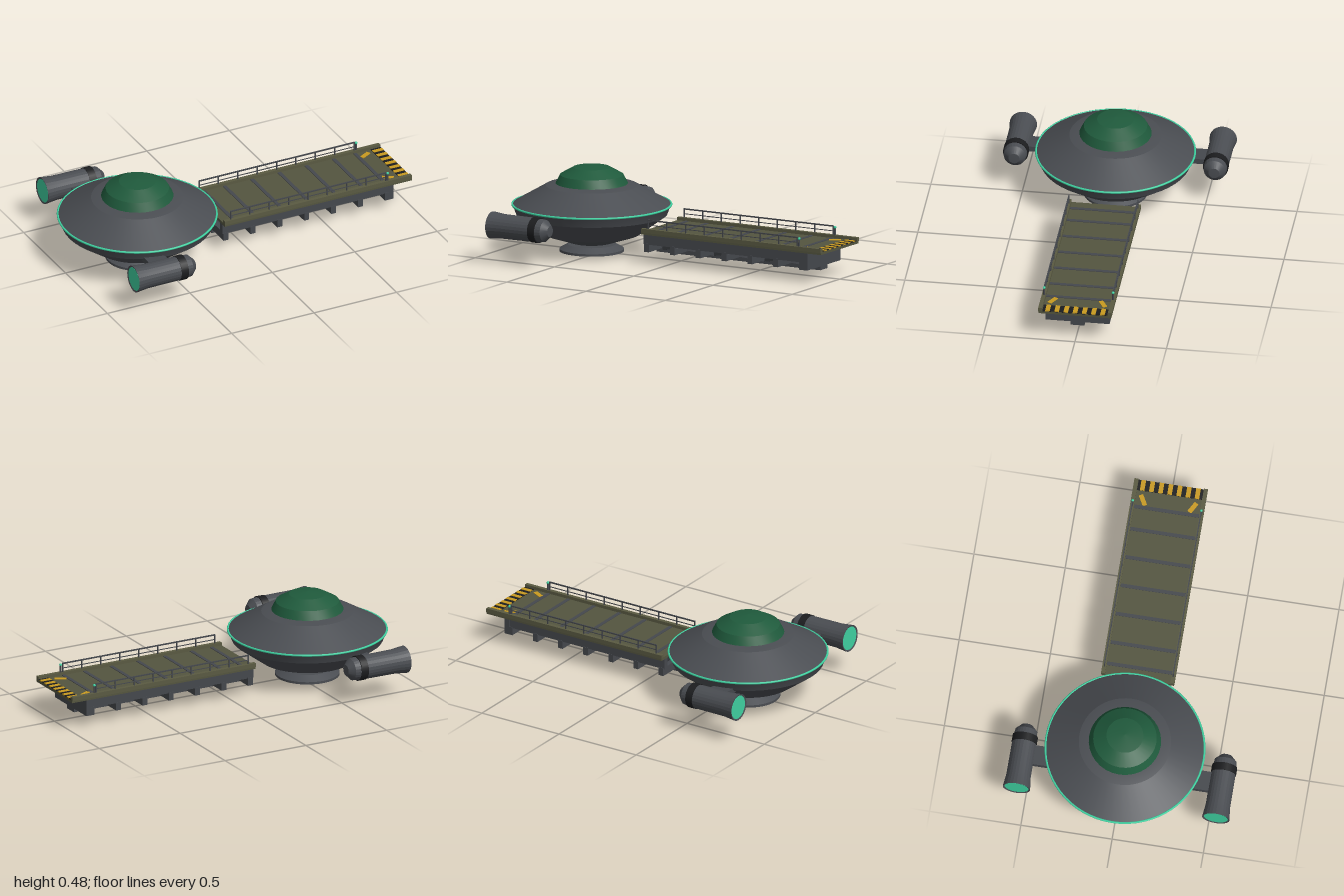
import * as THREE from 'three';
import { toCreasedNormals } from 'three/addons/utils/BufferGeometryUtils.js';

const mat = (color) => new THREE.MeshStandardMaterial({ color });
const HULL = mat(0x4a4d52), STEEL = mat(0x45484d), DARK = mat(0x1c1d1f), OLIVE = mat(0x5a5a42),
  PLATE = mat(0x54553f), GLASS = mat(0x1f5a3c), GLOW = mat(0x3fd0a0), YELLOW = mat(0xc89a20);

function add(parent, name, geometry, material, x = 0, y = 0, z = 0) {
  const mesh = new THREE.Mesh(geometry, material);
  mesh.name = name;
  mesh.position.set(x, y, z);
  parent.add(mesh);
  return mesh;
}

// box given by its limits on each axis
function block(parent, name, material, x0, x1, y0, y1, z0, z1) {
  return add(parent, name, new THREE.BoxGeometry(x1 - x0, y1 - y0, z1 - z0), material,
    (x0 + x1) / 2, (y0 + y1) / 2, (z0 + z1) / 2);
}

// square bar between two points
function bar(parent, name, material, a, b, size) {
  const from = new THREE.Vector3(...a), to = new THREE.Vector3(...b);
  const mesh = add(parent, name, new THREE.BoxGeometry(size, size, from.distanceTo(to)), material);
  mesh.position.copy(from).lerp(to, 0.5);
  mesh.lookAt(to);
  return mesh;
}

// turned shape, smooth around and creased between rings; points run bottom to top
function turned(points, segments = 48) {
  const geometry = new THREE.LatheGeometry(points.map(([r, y]) => new THREE.Vector2(r, y)), segments);
  return toCreasedNormals(geometry, 0.25);
}

function createSaucer() {
  const saucer = new THREE.Group();
  saucer.name = 'saucer';
  saucer.position.x = -0.565;
  add(saucer, 'hull', turned([[0, 0.042], [0.11, 0.047], [0.26, 0.096], [0.41, 0.205], [0.425, 0.245],
    [0.432, 0.257], [0.25, 0.362], [0.2, 0.373], [0, 0.373]]), HULL);
  add(saucer, 'dome', turned([[0.197, 0.371], [0.172, 0.42], [0.1, 0.461], [0, 0.476]], 32), GLASS);
  add(saucer, 'rimLight', new THREE.TorusGeometry(0.43, 0.006, 8, 64), GLOW, 0, 0.257, 0).rotation.x = Math.PI / 2;
  add(saucer, 'landingPad', turned([[0, 0], [0.175, 0], [0.175, 0.013], [0.13, 0.038], [0, 0.038]]), HULL);
  return saucer;
}

function createEngine(side) {
  const engine = new THREE.Group();
  engine.name = side > 0 ? 'leftEngine' : 'rightEngine';
  const pod = new THREE.Group();
  pod.name = 'pod';
  pod.position.set(-0.865, 0.202, side * 0.546);
  pod.rotation.z = -Math.PI / 2;
  engine.add(pod);
  add(pod, 'casing', turned([[0.064, 0.004], [0.075, 0], [0.067, 0.07], [0.066, 0.26], [0, 0.26]], 24), HULL);
  add(pod, 'collar', new THREE.CylinderGeometry(0.069, 0.069, 0.042, 24), DARK, 0, 0.281, 0);
  add(pod, 'nose', turned([[0.064, 0.3], [0.06, 0.335], [0.03, 0.365], [0, 0.367]], 24), HULL);
  add(pod, 'exhaust', new THREE.CylinderGeometry(0.066, 0.066, 0.01, 24), GLOW, 0, 0.008, 0);
  add(engine, 'pylon', new THREE.BoxGeometry(0.11, 0.03, 0.14), STEEL, -0.665, 0.202, side * 0.42);
  return engine;
}

function createRailing(side) {
  const railing = new THREE.Group();
  railing.name = side > 0 ? 'leftRailing' : 'rightRailing';
  const z = side * 0.188;
  for (let i = 0; i < 9; i++) {
    const x = -0.095 + i * 0.1175;
    block(railing, 'railPost', STEEL, x - 0.003, x + 0.003, 0.19, 0.247, z - 0.003, z + 0.003);
  }
  block(railing, 'topRail', STEEL, -0.098, 0.848, 0.242, 0.249, z - 0.003, z + 0.003);
  block(railing, 'midRail', STEEL, -0.098, 0.848, 0.217, 0.221, z - 0.002, z + 0.002);
  add(railing, 'lampPost', new THREE.CylinderGeometry(0.005, 0.006, 0.045, 8), STEEL, 0.857, 0.212, z);
  add(railing, 'lamp', new THREE.SphereGeometry(0.008, 10, 8), GLOW, 0.857, 0.24, z);
  return railing;
}

function createDeck() {
  const deck = new THREE.Group();
  deck.name = 'deck';
  const seams = [-0.07, 0.054, 0.22, 0.385, 0.55, 0.715, 0.845];
  block(deck, 'plate', PLATE, -0.135, 1, 0.165, 0.181, -0.198, 0.198);
  for (const x of seams) block(deck, 'seam', STEEL, x - 0.01, x + 0.01, 0.17, 0.184, -0.178, 0.178);
  for (const s of [-1, 1]) {
    const curb = add(deck, 'curb', new THREE.BoxGeometry(1.135, 0.022, 0.022), OLIVE, 0.4325, 0.187, s * 0.19);
    curb.name = s > 0 ? 'leftCurb' : 'rightCurb';
    const arrow = add(deck, 'guideMark', new THREE.BoxGeometry(0.065, 0.004, 0.025), YELLOW, 0.887, 0.182, s * 0.137);
    arrow.rotation.y = -s * 0.5;
    deck.add(createRailing(s));
  }
  // striped warning edge
  block(deck, 'warningStrip', DARK, 0.94, 1, 0.178, 0.184, -0.178, 0.178);
  for (let i = 0; i < 7; i++) {
    const z = -0.15 + i * 0.05;
    block(deck, 'warningStripe', YELLOW, 0.94, 1.0005, 0.18, 0.186, z - 0.0125, z + 0.0125);
  }
  return deck;
}

function createUnderframe() {
  const frame = new THREE.Group();
  frame.name = 'underframe';
  block(frame, 'keel', STEEL, -0.135, 0.9, 0.045, 0.165, -0.038, 0.038);
  for (const s of [-1, 1]) {
    add(frame, 'girder', new THREE.BoxGeometry(1.035, 0.058, 0.03), STEEL, 0.3825, 0.136, s * 0.157);
    // diagonal braces between keel and girders
    for (let i = 0; i < 6; i++) {
      const x = -0.09 + i * 0.16, inner = [0.065, s * 0.03], outer = [0.11, s * 0.15];
      const [p, q] = i % 2 ? [outer, inner] : [inner, outer];
      bar(frame, 'brace', STEEL, [x, ...p], [x + 0.16, ...q], 0.018);
    }
  }
  // cross ribs
  for (let i = 0; i < 7; i++) {
    const x = -0.115 + i * 0.163;
    block(frame, 'rib', STEEL, x - 0.015, x + 0.015, 0.066, 0.112, -0.175, 0.175);
  }
  block(frame, 'endBeam', STEEL, 0.87, 0.9, 0.066, 0.165, -0.175, 0.175);
  return frame;
}

export function createModel() {
  const model = new THREE.Group();
  model.name = 'saucerAndLandingDeck';
  model.add(createSaucer(), createEngine(1), createEngine(-1), createDeck(), createUnderframe());
  return model;
}
